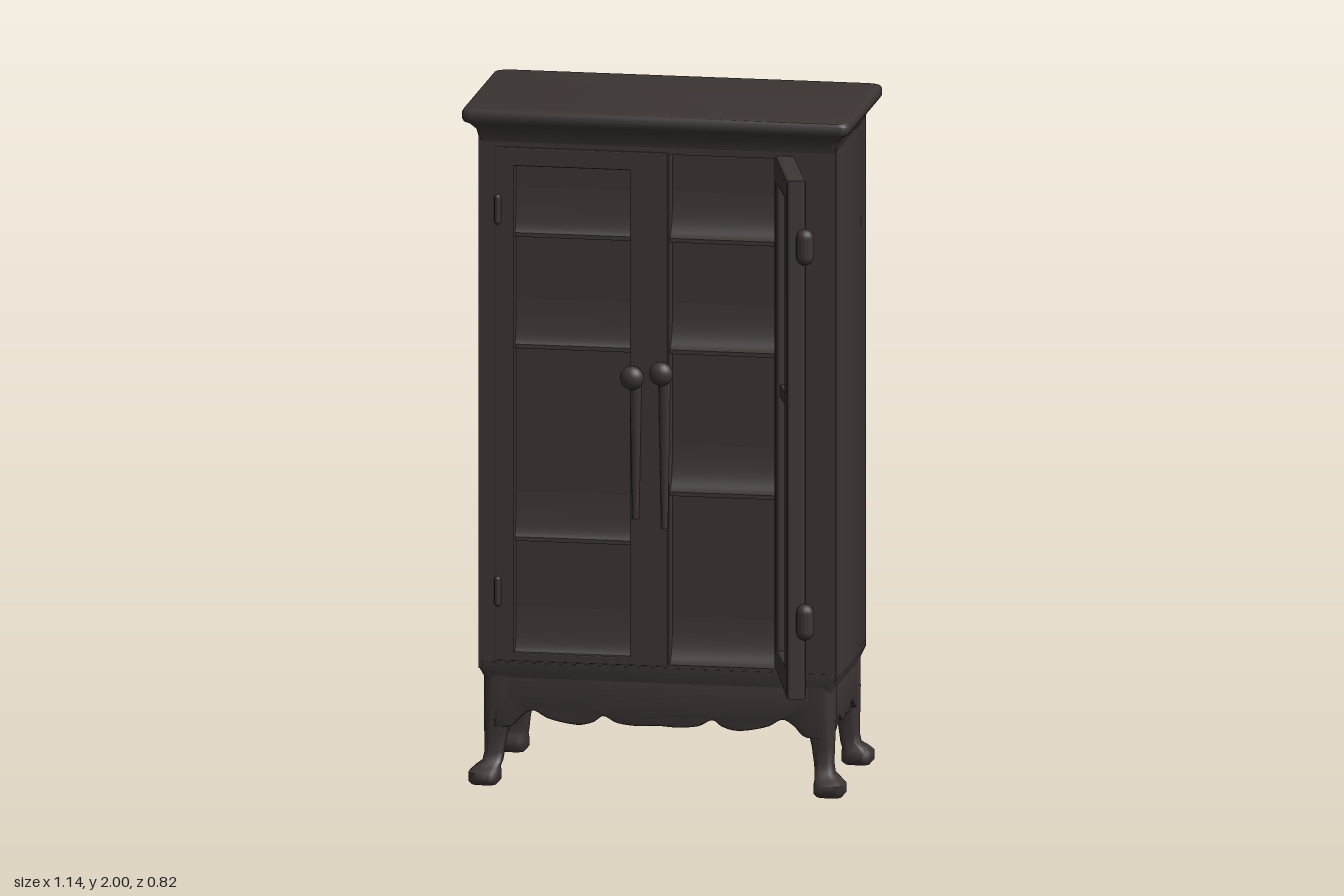
import * as THREE from 'three';
import { toCreasedNormals, mergeVertices } from 'three/addons/utils/BufferGeometryUtils.js';

const ZC = -0.13; // depth centre of the cabinet body

// Vertical loft through rounded-rectangle rings: [y, cx, cz, halfX, halfZ, cornerRadius]
function loft(rings, crease = 0.7) {
  const pos = [], idx = [], K = 5, n = K * 4;
  for (const [y, cx, cz, hx, hz, r] of rings) {
    for (let q = 0; q < 4; q++) {
      const sx = q === 0 || q === 3 ? 1 : -1, sz = q < 2 ? 1 : -1;
      for (let k = 0; k < K; k++) {
        const a = (q + k / (K - 1)) * Math.PI / 2;
        pos.push(cx + sx * (hx - r) + Math.cos(a) * r, y, cz + sz * (hz - r) + Math.sin(a) * r);
      }
    }
  }
  for (let i = 0; i < rings.length - 1; i++) {
    for (let j = 0; j < n; j++) {
      const a = i * n + j, b = i * n + (j + 1) % n;
      idx.push(a, a + n, b, b, a + n, b + n);
    }
  }
  const top = (rings.length - 1) * n;
  for (let j = 1; j < n - 1; j++) {
    idx.push(0, j, j + 1, top, top + j + 1, top + j);
  }
  const g = new THREE.BufferGeometry();
  g.setAttribute('position', new THREE.Float32BufferAttribute(pos, 3));
  g.setIndex(idx);
  return toCreasedNormals(mergeVertices(g), crease);
}

const polygon = pts => new THREE.Shape(pts.map(p => new THREE.Vector2(p[0], p[1])));
const rect = (x0, x1, y0, y1) => polygon([[x0, y0], [x1, y0], [x1, y1], [x0, y1]]);

function slab(shape, depth, bevel = 0) {
  return new THREE.ExtrudeGeometry(shape, {
    depth: depth - 2 * bevel, bevelEnabled: bevel > 0, bevelSize: bevel, bevelThickness: bevel,
    bevelOffset: -bevel, bevelSegments: 2, curveSegments: 8,
  }).translate(0, 0, bevel);
}

// Scalloped skirt board; half is its lower edge from the end to the middle
function apron(half) {
  const edge = [...half, ...half.slice(0, -1).reverse().map(([x, y]) => [-x, y])];
  const curve = new THREE.SplineCurve(edge.map(p => new THREE.Vector2(p[0], p[1])));
  const pts = curve.getPoints(72).map(p => [p.x, p.y]);
  return toCreasedNormals(slab(polygon([[half[0][0], 0.32], ...pts, [-half[0][0], 0.32]]), 0.035, 0.006), 0.6);
}

export function createModel() {
  const root = new THREE.Group();
  root.name = 'displayCabinet';
  const wood = new THREE.MeshStandardMaterial({ color: 0x3c3534 });
  wood.name = 'dark wood';
  const add = (name, geo, x = 0, y = 0, z = 0, parent = root) => {
    const m = new THREE.Mesh(geo, wood);
    m.name = name;
    m.position.set(x, y, z);
    parent.add(m);
    return m;
  };

  // Cornice and base moulding
  add('cornice', loft([
    [1.9, 0, ZC, 0.524, 0.249, 0.015], [1.935, 0, ZC, 0.532, 0.257, 0.015],
    [1.955, 0, ZC + 0.003, 0.55, 0.275, 0.02], [1.962, 0, ZC + 0.005, 0.565, 0.285, 0.025],
    [1.972, 0, ZC + 0.005, 0.571, 0.29, 0.03], [1.988, 0, ZC + 0.005, 0.571, 0.29, 0.03],
    [1.997, 0, ZC + 0.005, 0.566, 0.285, 0.03], [2, 0, ZC + 0.005, 0.557, 0.276, 0.03],
  ]));
  add('baseMoulding', loft([
    [0.285, 0, ZC, 0.508, 0.24, 0.02], [0.315, 0, ZC, 0.514, 0.243, 0.02],
    [0.34, 0, ZC, 0.525, 0.25, 0.015], [0.36, 0, ZC, 0.525, 0.25, 0.015],
  ]));

  // Carcass: closed back, open front with a shallow compartment on each side
  const wallZ = 0.05;
  add('carcassBack', loft([
    [0.34, 0, (wallZ - 0.38) / 2, 0.525, 0.215, 0.003], [1.92, 0, (wallZ - 0.38) / 2, 0.525, 0.215, 0.003],
  ]));
  const face = rect(-0.525, 0.525, 0.34, 1.92);
  const openings = [
    { x0: -0.42, x1: -0.08, y0: 0.39, y1: 1.83, back: 0.085, shelves: [0.39, 0.73, 1.3, 1.63] },
    { x0: 0.035, x1: 0.385, y0: 0.37, y1: 1.88, back: 0.06, shelves: [0.37, 0.88, 1.3, 1.63] },
  ];
  for (const o of openings) face.holes.push(rect(o.x0, o.x1, o.y0, o.y1));
  add('carcassFront', slab(face, 0.12 - wallZ - 0.002), 0, 0, wallZ);

  // Compartment backs and shelves, each shelf sweeping softly up into the back
  for (const o of openings) {
    add('compartmentBack', slab(rect(o.x0, o.x1, o.y0, o.y1), o.back - wallZ), 0, 0, wallZ);
    const depth = 0.108 - o.back;
    for (const y of o.shelves) {
      const s = new THREE.Shape();
      s.moveTo(0, -0.012);
      s.lineTo(depth, -0.012);
      s.lineTo(depth, 0);
      s.quadraticCurveTo(0.005, 0.01, 0, 0.13);
      s.closePath();
      const g = toCreasedNormals(slab(s, o.x1 - o.x0), 0.5).rotateY(-Math.PI / 2);
      add('shelf', g, o.x1, y, o.back);
    }
  }

  // Closed left door: raised frame around its opening
  const closed = rect(-0.475, 0.03, 0.365, 1.885);
  closed.holes.push(rect(-0.42, -0.08, 0.39, 1.83));
  add('leftDoorFrame', slab(closed, 0.01, 0.003), 0, 0, 0.113);
  for (const y of [0.57, 1.7]) {
    add('leftHinge', new THREE.CapsuleGeometry(0.01, 0.07, 4, 10), -0.468, y, 0.122);
  }

  // Round pulls with tapering stems running down the meeting stiles
  for (const [x, y, len] of [[-0.07, 1.22, 0.42], [0.015, 1.235, 0.46]]) {
    const knob = add('doorKnob', new THREE.SphereGeometry(0.035, 20, 14), x, y, 0.14);
    knob.scale.z = 0.8;
    const stem = add('knobStem', new THREE.CylinderGeometry(0.018, 0.01, len, 12), x + 0.008, y - len / 2, 0.125);
    stem.scale.z = 0.7;
  }

  // Open right door, swung out to the front
  const door = new THREE.Group();
  door.name = 'openDoor';
  door.position.set(0.34, 0, 0.1);
  door.rotation.y = -1.276;
  root.add(door);
  const leaf = polygon([[0, 0.37], [0.307, 0.34], [0.307, 1.875], [0, 1.89]]);
  leaf.holes.push(rect(0.05, 0.255, 0.43, 1.81));
  add('openDoorFrame', slab(leaf, 0.058, 0.01), 0, 0, -0.058, door);
  add('openDoorPanel', new THREE.BoxGeometry(0.225, 1.4, 0.02), 0.152, 1.12, -0.043, door);
  add('openDoorRail', new THREE.BoxGeometry(0.225, 0.035, 0.03), 0.152, 1.2, -0.027, door);
  for (const y of [0.57, 1.68]) {
    add('openDoorHinge', new THREE.CapsuleGeometry(0.026, 0.055, 6, 14), 0.482, y, 0.383);
  }

  // Scalloped aprons on all four sides
  const wide = [[0.48, 0.165], [0.43, 0.17], [0.4, 0.2], [0.365, 0.218], [0.32, 0.195], [0.24, 0.18],
    [0.19, 0.19], [0.16, 0.209], [0.12, 0.19], [0.06, 0.183], [0, 0.186]].map(([x, y]) => [-x, y]);
  const narrow = [[0.2, 0.17], [0.165, 0.175], [0.13, 0.192], [0.105, 0.207], [0.075, 0.19],
    [0.035, 0.183], [0, 0.19]].map(([x, y]) => [-x, y]);
  for (const s of [1, -1]) {
    const front = add(s > 0 ? 'frontApron' : 'backApron', apron(wide), 0, 0, ZC + s * 0.208);
    const side = add(s > 0 ? 'leftApron' : 'rightApron', apron(narrow), s * 0.477, 0, ZC);
    if (s < 0) front.rotation.y = Math.PI;
    side.rotation.y = s * Math.PI / 2;
  }

  // Cabriole legs with feet turned outwards; the back feet stay nearer the body
  for (const sx of [1, -1]) {
    for (const sz of [1, -1]) {
      const kick = sz > 0 ? 1 : 0.3;
      const rings = [
        // y, x distance from centre, outward z shift, half width
        [0, 0.507, 0.041, 0.036], [0.01, 0.507, 0.041, 0.045], [0.036, 0.507, 0.041, 0.045],
        [0.05, 0.5, 0.033, 0.037], [0.064, 0.488, 0.014, 0.029], [0.09, 0.484, 0.006, 0.028],
        [0.14, 0.481, 0.004, 0.032], [0.18, 0.477, 0, 0.037], [0.23, 0.47, -0.005, 0.045],
        [0.28, 0.467, -0.006, 0.047], [0.32, 0.467, -0.006, 0.047],
      ].map(([y, x, z, h]) => [y, sx * x, ZC + sz * (0.203 + z * (z > 0 ? kick : 1)), h, h, h * 0.6]);
      add((sz > 0 ? 'front' : 'back') + (sx > 0 ? 'Left' : 'Right') + 'Leg', loft(rings, 0.9));
    }
  }
  return root;
}
